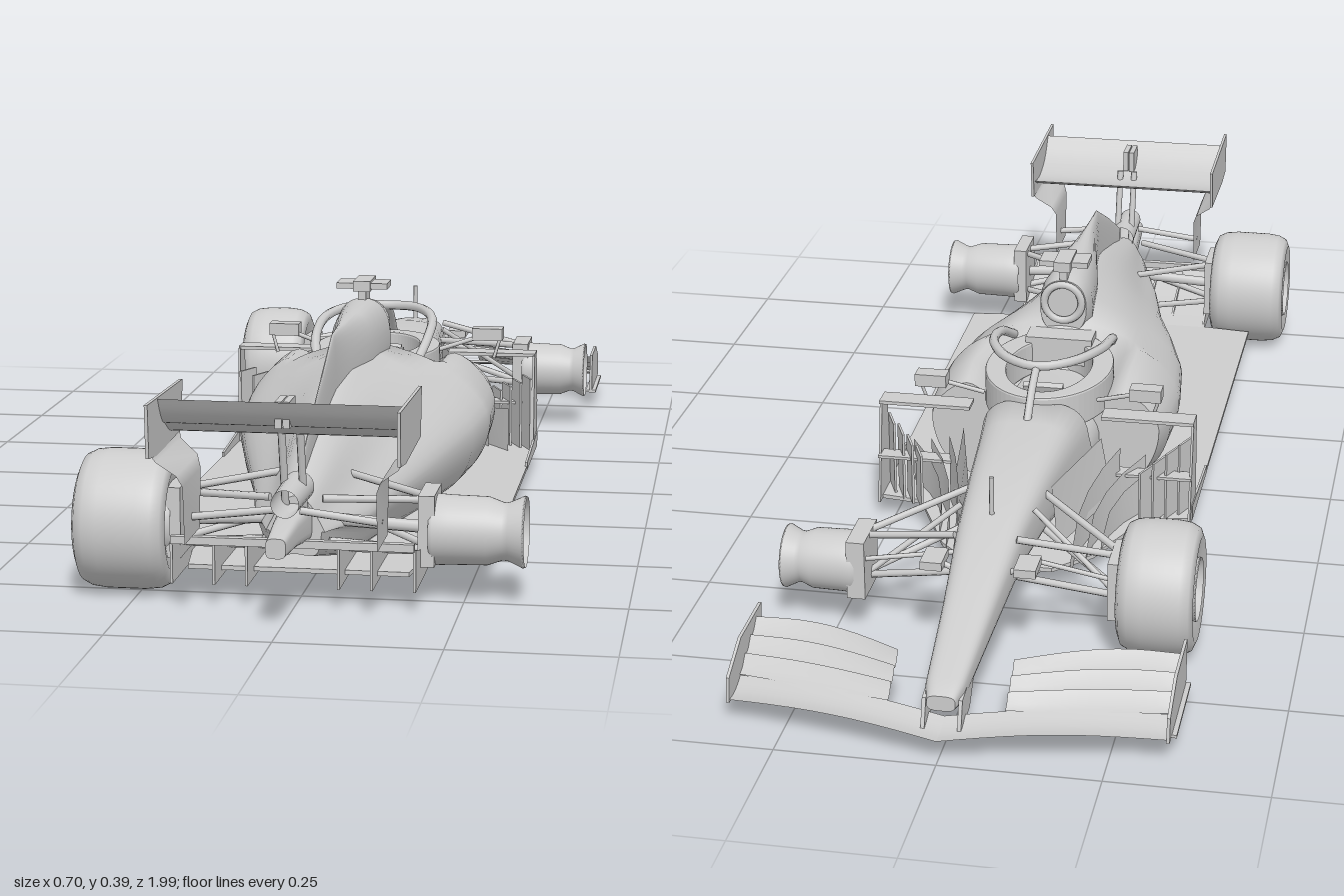
import * as THREE from 'three';

const V = (x, y, z) => new THREE.Vector3(x, y, z);

export function createModel() {
  const car = new THREE.Group();
  car.name = 'racingCar';
  const grey = new THREE.MeshStandardMaterial({ color: 0xcccccc, side: THREE.DoubleSide });
  grey.name = 'light grey';

  const add = (name, geo, parent = car) => {
    const m = new THREE.Mesh(geo, grey);
    m.name = name;
    parent.add(m);
    return m;
  };
  const box = (name, w, h, d, x, y, z, parent = car) => {
    const m = add(name, new THREE.BoxGeometry(w, h, d), parent);
    m.position.set(x, y, z);
    return m;
  };
  const both = (fn) => [-1, 1].forEach(fn);

  // Surface through rows of points; each row may be a closed ring
  const grid = (rows, ring = false) => {
    const n = rows[0].length, idx = [];
    for (let i = 0; i < rows.length - 1; i++) {
      for (let j = 0; j < (ring ? n : n - 1); j++) {
        const a = i * n + j, b = i * n + (j + 1) % n;
        idx.push(a, b, a + n, b, b + n, a + n);
      }
    }
    const g = new THREE.BufferGeometry().setFromPoints(rows.flat());
    g.setIndex(idx);
    g.computeVertexNormals();
    return g;
  };
  // Capped loft through rings
  const loft = (rings) => {
    const cap = (r) => {
      const c = r.reduce((s, p) => s.add(p), V(0, 0, 0)).divideScalar(r.length);
      return r.map(() => c.clone());
    };
    const a = rings[0], b = rings[rings.length - 1];
    return grid([cap(a), a.map(p => p.clone()), ...rings, b.map(p => p.clone()), cap(b)], true);
  };
  // Rounded-box cross-section [z, halfWidth, bottom, top]
  const oval = ([z, w, y0, y1], e = 0.55, x = 0) => Array.from({ length: 32 }, (_, i) => {
    const t = i / 32 * Math.PI * 2, c = Math.cos(t), s = Math.sin(t);
    return V(x + w * Math.sign(c) * Math.abs(c) ** e,
      (y0 + y1) / 2 + (y1 - y0) / 2 * Math.sign(s) * Math.abs(s) ** e, z);
  });
  // Upright plate in the z-y plane
  const plate = (name, pts, x, t = 0.006) => {
    const g = new THREE.ExtrudeGeometry(new THREE.Shape(pts.map(p => new THREE.Vector2(-p[0], p[1]))),
      { depth: t, bevelEnabled: false });
    g.rotateY(Math.PI / 2);
    const m = add(name, g);
    m.position.x = x - t / 2;
  };
  const rod = (name, a, b, r = 0.005, flat = 1) => {
    const d = b.clone().sub(a);
    const m = add(name, new THREE.CylinderGeometry(r, r, d.length(), 8));
    m.position.copy(a).addScaledVector(d, 0.5);
    m.quaternion.setFromUnitVectors(V(0, 1, 0), d.normalize());
    m.scale.z = flat;
  };
  const tube = (name, pts, r) => add(name,
    new THREE.TubeGeometry(new THREE.CatmullRomCurve3(pts), 32, r, 8));

  // Nose and tub
  add('noseAndTub', loft([[-0.96, 0.022, 0.07, 0.095], [-0.93, 0.03, 0.065, 0.11], [-0.75, 0.042, 0.085, 0.157],
    [-0.58, 0.056, 0.11, 0.206], [-0.42, 0.07, 0.1, 0.228], [-0.28, 0.083, 0.07, 0.237], [-0.19, 0.095, 0.045, 0.237],
    [-0.17, 0.097, 0.045, 0.19], [0.12, 0.1, 0.04, 0.19]].map(s => oval(s, 0.6))));

  // Sidepods and tapering tail: [z, top, x1, y1, x2, y2, width, middle, bottom]
  const bodyRing = ([z, top, x1, y1, x2, y2, w, ym, yb]) => {
    const h = [[x1, y1], [x2, y2], [w, ym], [w * 0.93, yb + 0.04], [w * 0.7, yb]];
    const pts = [V(0, top, z), ...h.map(p => V(p[0], p[1], z)), V(0, yb, z),
      ...h.reverse().map(p => V(-p[0], p[1], z))];
    return new THREE.CatmullRomCurve3(pts, true).getPoints(72).slice(0, 72);
  };
  add('sidepodsAndTail', loft([
    [-0.1, 0.18, 0.07, 0.18, 0.14, 0.222, 0.2, 0.17, 0.05],
    [-0.04, 0.18, 0.07, 0.182, 0.14, 0.238, 0.212, 0.165, 0.04],
    [0.06, 0.19, 0.07, 0.19, 0.14, 0.24, 0.214, 0.16, 0.035],
    [0.09, 0.28, 0.06, 0.268, 0.13, 0.24, 0.212, 0.16, 0.035],
    [0.2, 0.295, 0.055, 0.27, 0.12, 0.232, 0.2, 0.155, 0.035],
    [0.35, 0.285, 0.042, 0.262, 0.1, 0.21, 0.163, 0.14, 0.035],
    [0.5, 0.255, 0.035, 0.235, 0.08, 0.175, 0.122, 0.12, 0.04],
    [0.65, 0.215, 0.03, 0.2, 0.06, 0.15, 0.09, 0.11, 0.045],
    [0.8, 0.17, 0.02, 0.16, 0.035, 0.135, 0.045, 0.115, 0.08]].map(bodyRing)));

  // Air intake and engine cover fin
  add('engineCover', loft([[0.085, 0.042, 0.25, 0.352], [0.12, 0.048, 0.22, 0.36], [0.25, 0.036, 0.22, 0.358],
    [0.36, 0.016, 0.2, 0.357], [0.45, 0.006, 0.2, 0.355], [0.6, 0.004, 0.17, 0.285], [0.73, 0.003, 0.15, 0.218]]
    .map(s => oval(s, 0.85))));
  add('intakeLip', new THREE.TorusGeometry(0.034, 0.007, 8, 32)).position.set(0, 0.312, 0.08);
  box('cameraStalk', 0.014, 0.03, 0.05, 0, 0.368, 0.11);
  box('cameraBar', 0.088, 0.01, 0.05, 0, 0.383, 0.11);
  box('cameraPod', 0.03, 0.018, 0.07, 0, 0.383, 0.105);

  // Cockpit collar, headrest, wheel and halo
  const rim = new THREE.Shape().absellipse(0, 0.05, 0.108, 0.15, 0, Math.PI * 2);
  rim.holes.push(new THREE.Path().absellipse(0, 0.055, 0.078, 0.122, 0, Math.PI * 2));
  add('cockpitCollar', new THREE.ExtrudeGeometry(rim, { depth: 0.055, bevelSize: 0.004, bevelThickness: 0.004,
    bevelSegments: 2, curveSegments: 32 }).rotateX(-Math.PI / 2)).position.set(0, 0.19, 0);
  box('headrest', 0.12, 0.05, 0.05, 0, 0.235, 0.06);
  box('steeringWheel', 0.07, 0.035, 0.012, 0, 0.22, -0.11).rotation.x = -0.4;
  tube('halo', [V(-0.09, 0.245, 0.08), V(-0.1, 0.275, 0.02), V(-0.094, 0.295, -0.08), V(-0.055, 0.3, -0.155),
    V(0, 0.298, -0.18), V(0.055, 0.3, -0.155), V(0.094, 0.295, -0.08), V(0.1, 0.275, 0.02), V(0.09, 0.245, 0.08)], 0.0085);
  tube('haloStrut', [V(0, 0.297, -0.178), V(0, 0.275, -0.22), V(0, 0.23, -0.27)], 0.007);
  rod('antenna', V(0, 0.2, -0.57), V(0, 0.272, -0.57), 0.004);

  // Floor, plank and diffuser
  const floor = new THREE.Shape();
  const edge = [[0.07, -0.42], [0.13, -0.36], [0.2, -0.21], [0.275, -0.2], [0.28, 0.63], [0.19, 0.64], [0.17, 0.78]];
  edge.forEach(([x, z], i) => i ? floor.lineTo(x, -z) : floor.moveTo(x, -z));
  [...edge].reverse().forEach(([x, z]) => floor.lineTo(-x, -z));
  const floorMesh = add('floor', new THREE.ExtrudeGeometry(floor, { depth: 0.007, bevelEnabled: false }).rotateX(-Math.PI / 2));
  floorMesh.position.y = 0.036;
  floorMesh.rotation.x = -0.012;
  add('plank', loft([[-0.42, 0.04, 0.018, 0.03], [-0.3, 0.09, 0.013, 0.04], [0.5, 0.09, 0.016, 0.045],
    [0.66, 0.05, 0.025, 0.05]].map(s => oval(s, 0.3))));
  add('diffuserRoof', grid([[0.6, 0.045], [0.7, 0.06], [0.83, 0.1]].map(([z, y]) => [V(-0.185, y, z), V(0.185, y, z)])));
  box('diffuserLip', 0.37, 0.012, 0.012, 0, 0.104, 0.83);
  both(s => [0.07, 0.12, 0.185].forEach(x =>
    plate('diffuserFence', [[0.62, 0.035], [0.83, 0.035], [0.83, 0.1], [0.72, 0.075]], s * x, 0.004)));
  both(s => plate('floorEdgeFin', [[-0.2, 0.038], [0, 0.037], [0, 0.05], [-0.2, 0.065]], s * 0.275, 0.004));

  // Tail: exhaust, crash structure and gearbox
  add('exhaust', new THREE.CylinderGeometry(0.021, 0.024, 0.12, 24, 1, true).rotateX(Math.PI / 2)).position.set(0, 0.178, 0.83);
  add('crashStructure', loft([[0.74, 0.03, 0.09, 0.16], [0.88, 0.02, 0.11, 0.155], [0.965, 0.015, 0.115, 0.145]]
    .map(s => oval(s))));

  // Rear wing
  const wing = (name, z0, y0, z1, y1, sag, w) => add(name, grid(Array.from({ length: 13 }, (_, i) => {
    const t = i / 12, y = y0 + (y1 - y0) * t - sag * Math.sin(Math.PI * t), z = z0 + (z1 - z0) * t;
    return [V(-w, y, z), V(w, y, z)];
  })));
  wing('rearWingMainPlane', 0.775, 0.29, 0.885, 0.298, 0.022, 0.182);
  wing('rearWingMainPlaneTop', 0.775, 0.29, 0.885, 0.298, 0.01, 0.182);
  wing('rearWingFlap', 0.87, 0.292, 0.925, 0.338, 0.007, 0.182);
  wing('rearWingFlapBack', 0.87, 0.292, 0.925, 0.338, 0.013, 0.182);
  both(s => {
    plate('rearWingEndplate', [[0.755, 0.335], [0.99, 0.342], [0.985, 0.262], [0.93, 0.255], [0.765, 0.26]], s * 0.183, 0.005);
    add('endplateCurve', grid([[0.183, 0.262], [0.178, 0.25], [0.15, 0.228], [0.143, 0.21], [0.143, 0.12]]
      .map(([x, y], i) => [V(s * x, y, 0.77 + i * 0.012), V(s * x, y, 0.965 - i * 0.01)])));
    rod('rearWingPylon', V(s * 0.014, 0.14, 0.8), V(s * 0.014, 0.3, 0.84), 0.006);
    box('actuator', 0.01, 0.04, 0.05, s * 0.006, 0.315, 0.88);
    rod('beamWing', V(s * 0.02, 0.165, 0.87), V(s * 0.143, 0.15, 0.87), 0.006);
  });

  // Front wing: a swept main plane and three flaps each side
  const xs = Array.from({ length: 11 }, (_, i) => i / 10);
  const lead = x => -0.998 + 0.19 * x, trail = x => -0.85 + 0.075 * Math.sin(Math.PI / 2 * Math.min(1, (x - 0.09) / 0.2));
  both(s => {
    add('frontWingMainPlane', grid([0, 0.25, 0.5, 0.75, 1].map(t => xs.map(k => {
      const x = 0.338 * k;
      return V(s * x, 0.04 + 0.008 * t - 0.006 * Math.sin(Math.PI * t) + 0.01 * Math.sin(Math.PI * k), lead(x) + 0.062 * t);
    }))));
    for (let f = 0; f < 3; f++) {
      add('frontWingFlap', grid([0, 0.5, 1].map(t => xs.map(k => {
        const x = 0.09 + 0.245 * k, u = (f + t * 0.94) / 3, z0 = lead(x) + 0.058;
        return V(s * x, 0.052 + 0.014 * f + 0.02 * t * t + 0.006 * (1 - k), z0 + (trail(x) - z0) * u);
      }))));
    }
    plate('frontWingEndplate', [[-0.935, 0.035], [-0.75, 0.035], [-0.745, 0.108], [-0.86, 0.107], [-0.93, 0.075]], s * 0.338, 0.005);
    box('endplateFoot', 0.02, 0.005, 0.16, s * 0.338, 0.033, -0.83);
    plate('nosePylon', [[-0.965, 0.04], [-0.9, 0.045], [-0.85, 0.1], [-0.95, 0.085]], s * 0.028);
    box('noseCamera', 0.035, 0.014, 0.055, s * 0.075, 0.165, -0.66);
    rod('noseCameraMount', V(s * 0.04, 0.15, -0.66), V(s * 0.075, 0.165, -0.66), 0.005);
  });

  // Bargeboards, deflectors and mirrors
  both(s => {
    [[0.1, 0.15, 0.145], [0.12, 0.19, 0.12], [0.14, 0.23, 0.1]].forEach(([x0, x1, h], i) =>
      add('bargeboard', grid([0, 0.25, 0.5, 0.75, 1].map(t => {
        const x = s * (x0 + (x1 - x0) * t * t), z = -0.41 + i * 0.035 + 0.21 * t;
        return [V(x, 0.03, z), V(x, 0.05 + (h - 0.03) * Math.sqrt(t), z)];
      }))));
    for (let i = 0; i < 4; i++) {
      const m = box('turningVane', 0.004, 0.1 + 0.012 * i, 0.05, s * (0.2 + 0.02 * i), 0.09 + 0.005 * i, -0.22 + 0.018 * i);
      m.rotation.y = s * 0.4;
    }
    plate('outerDeflector', [[-0.22, 0.035], [-0.14, 0.035], [-0.15, 0.215], [-0.19, 0.215]], s * 0.273, 0.004);
    box('deflectorSlat', 0.16, 0.006, 0.04, s * 0.195, 0.215, -0.175);
    box('lowerSlat', 0.13, 0.005, 0.03, s * 0.21, 0.12, -0.2);
    add('chassisVane', grid([0, 0.5, 1].map(t => [V(s * (0.07 + 0.05 * t), 0.19, -0.42 + 0.2 * t),
      V(s * (0.08 + 0.06 * t), 0.08, -0.42 + 0.2 * t)])));
    box('mirror', 0.055, 0.022, 0.03, s * 0.188, 0.253, -0.16);
    rod('mirrorStalk', V(s * 0.1, 0.225, -0.14), V(s * 0.18, 0.25, -0.155), 0.004);
    rod('mirrorBrace', V(s * 0.212, 0.25, -0.155), V(s * 0.2, 0.21, -0.15), 0.003);
  });

  // Suspension
  both(s => {
    const arm = (name, a, b, r) => rod(name, V(s * a[0], a[1], a[2]), V(s * b[0], b[1], b[2]), r);
    [-0.66, -0.47].forEach(z => arm('frontUpperArm', [0.05, 0.19, z + 0.04], [0.22, 0.155, -0.58], 0.006));
    [-0.62, -0.43].forEach(z => arm('frontLowerArm', [0.05, 0.125, z], [0.22, 0.08, -0.575], 0.006));
    arm('frontPushrod', [0.06, 0.195, -0.52], [0.21, 0.085, -0.585]);
    arm('steeringRod', [0.05, 0.15, -0.6], [0.22, 0.13, -0.62], 0.004);
    [0.6, 0.79].forEach(z => {
      arm('rearUpperArm', [0.04, 0.165, z], [0.21, 0.155, 0.73], 0.006);
      arm('rearLowerArm', [0.05, 0.1, z], [0.21, 0.075, 0.73], 0.006);
    });
    arm('driveShaft', [0.03, 0.12, 0.73], [0.22, 0.11, 0.73], 0.01);
    box('frontBrakeDuct', 0.03, 0.1, 0.09, s * 0.212, 0.115, -0.585);
    box('rearBrakeDuct', 0.025, 0.11, 0.09, s * 0.195, 0.115, 0.73);
  });

  // Wheels: tyres on the right, bare rims on the left
  const lathe = (pts, seg = 48) => new THREE.LatheGeometry(pts.map(p => new THREE.Vector2(p[0], p[1])), seg);
  const wheel = (s, z, inner, outer, r) => {
    const g = new THREE.Group(), w = outer - inner;
    g.name = z < 0 ? 'frontWheel' : 'rearWheel';
    g.position.set(s * inner, 0.109, z);
    g.rotation.z = -s * Math.PI / 2;
    car.add(g);
    add('rimBarrel', lathe([[r * 0.93, 0], [r, 0.006], [r * 0.97, w * 0.2], [r * 0.95, w * 0.6], [r * 0.8, w * 0.76],
      [r * 0.82, w * 0.82], [r, w * 0.97], [r * 0.98, w], [r * 0.76, w * 0.78]]), g);
    add('hub', new THREE.CylinderGeometry(0.011, 0.015, w * 0.75, 16), g).position.y = w * 0.45;
    add('brakeDisc', new THREE.CylinderGeometry(r * 0.75, r * 0.75, 0.012, 32), g).position.y = w * 0.25;
    for (let i = 0; i < 10; i++) {
      const arm = new THREE.Group();
      arm.rotation.y = i * Math.PI / 5;
      g.add(arm);
      box('spoke', r * 0.74, 0.008, 0.006, r * 0.42, w * 0.74, 0, arm);
    }
    if (s < 0) {
      const R = 0.1085, k = r * 1.0;
      add('tyre', lathe([[k, 0.008], [R * 0.78, 0], [R * 0.91, 0.006], [R * 0.975, 0.02], [R, 0.042], [R, w - 0.042],
        [R * 0.975, w - 0.02], [R * 0.91, w - 0.006], [R * 0.78, w], [k, w - 0.008]], 64), g);
    }
  };
  both(s => {
    wheel(s, -0.583, 0.215, 0.338, 0.052);
    wheel(s, 0.73, 0.198, 0.343, 0.055);
  });
  return car;
}
